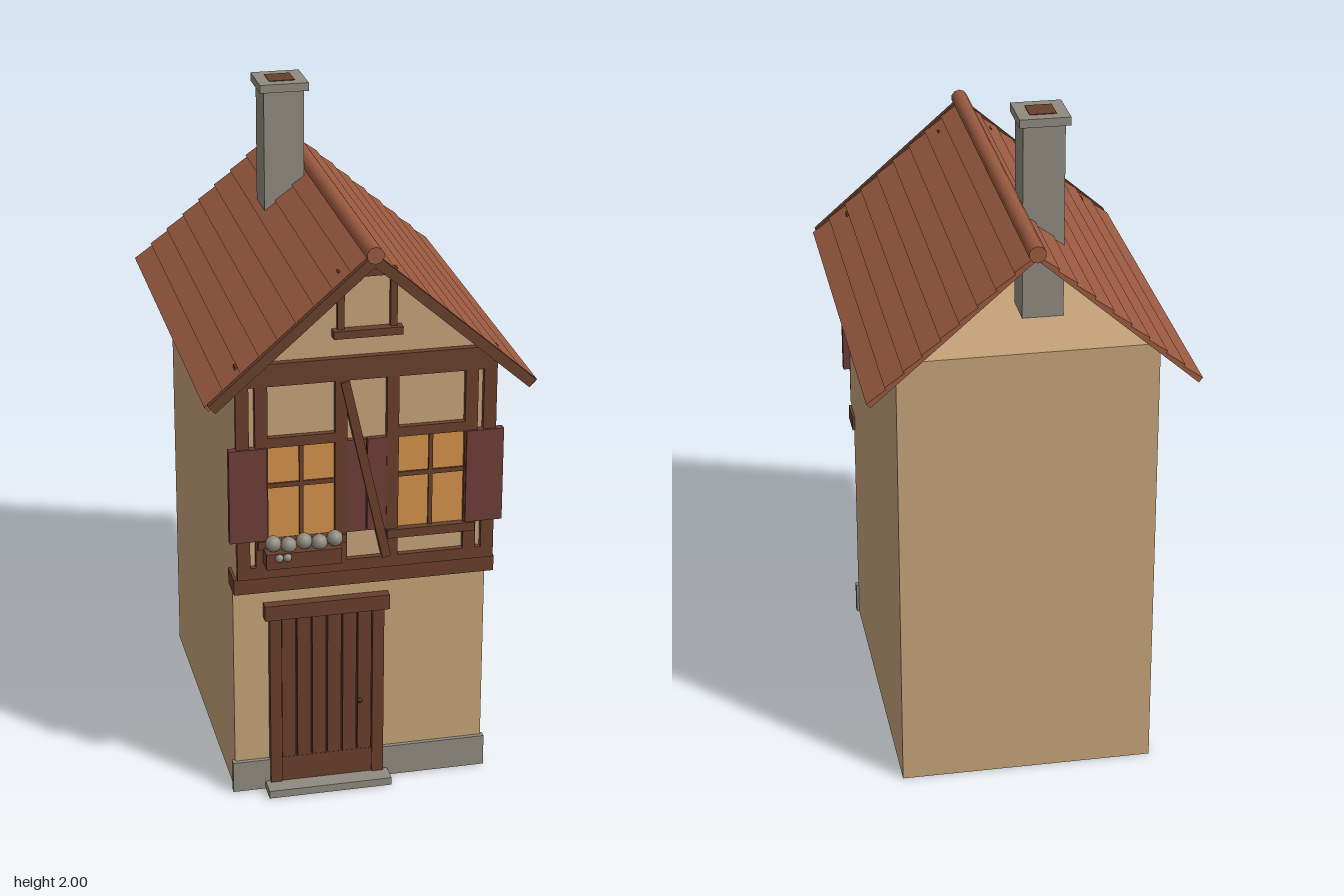
import * as THREE from 'three';

const mat = (name, color) => {
  const m = new THREE.MeshStandardMaterial({ color });
  m.name = name;
  return m;
};

export function createModel() {
  const model = new THREE.Group();
  model.name = 'timberHouse';
  const plaster = mat('plaster', 0xc5a379);
  const timber = mat('timber', 0x683f2c);
  const dark = mat('darkGap', 0x3f261b);
  const tile = mat('roofTile', 0x9a5a40);
  const stone = mat('stone', 0x8f8a7f);
  const glass = mat('litGlass', 0xd3924a);
  const paint = mat('shutterPaint', 0x6d3d37);

  const add = (name, geo, material, parent = model) => {
    const mesh = new THREE.Mesh(geo, material);
    mesh.name = name;
    parent.add(mesh);
    return mesh;
  };
  // Box given by its minimum and maximum on each axis
  const box = (name, material, x0, x1, y0, y1, z0, z1, parent) => {
    const mesh = add(name, new THREE.BoxGeometry(x1 - x0, y1 - y0, z1 - z0), material, parent);
    mesh.position.set((x0 + x1) / 2, (y0 + y1) / 2, (z0 + z1) / 2);
    return mesh;
  };

  // Walls, with the upper floor jutting out over the lower one
  box('lowerWalls', plaster, -0.38, 0.38, 0, 0.72, -0.53, 0.48);
  box('upperWalls', plaster, -0.38, 0.38, 0.72, 1.385, -0.53, 0.545);
  const gable = new THREE.Shape([
    new THREE.Vector2(-0.38, 1.38), new THREE.Vector2(0.38, 1.38), new THREE.Vector2(0, 1.713)]);
  add('frontGable', new THREE.ExtrudeGeometry(gable, { depth: 0.03, bevelEnabled: false }), plaster)
    .position.z = 0.515;
  box('plinth', stone, -0.388, 0.388, 0.002, 0.1, 0.47, 0.493);
  box('doorStep', stone, -0.29, 0.085, 0.003, 0.027, 0.47, 0.555);

  // Door with planks, frame and knob
  box('doorBacking', dark, -0.24, 0.035, 0.1, 0.575, 0.475, 0.487);
  box('doorFoot', timber, -0.24, 0.035, 0.005, 0.107, 0.475, 0.499);
  for (let i = 0; i < 6; i++) {
    const x = -0.24 + i * 0.046;
    box('doorPlank', timber, x + 0.002, x + 0.043, 0.1, 0.575, 0.475, 0.498);
  }
  const knob = add('doorKnob', new THREE.SphereGeometry(0.008, 10, 8), dark);
  knob.position.set(-0.004, 0.275, 0.503);
  for (const x of [-0.275, 0.035]) box('doorPost', timber, x, x + 0.035, 0.025, 0.575, 0.475, 0.504);
  box('doorLintel', timber, -0.29, 0.085, 0.575, 0.622, 0.475, 0.511);

  // Beams and posts of the upper floor
  const zw = 0.54, zt = 0.563;
  box('jettyBeam', timber, -0.388, 0.388, 0.688, 0.736, 0.457, 0.546);
  box('bottomRail', timber, -0.38, 0.38, 0.742, 0.778, zw, zt);
  box('topRail', timber, -0.38, 0.38, 1.338, 1.406, zw, 0.566);
  for (const s of [-1, 1]) {
    const at = (name, material, a, b, y0, y1, z0, z1) =>
      box(name, material, Math.min(a * s, b * s), Math.max(a * s, b * s), y0, y1, z0, z1);
    at('cornerPost', timber, 0.342, 0.38, 0.775, 1.34, zw, zt);
    at('windowPost', timber, 0.288, 0.325, 0.775, 1.34, zw, zt);
    at('innerPost', timber, 0.058, 0.093, 0.775, 1.34, zw, zt);
    at('windowHeader', timber, 0.09, 0.29, 1.15, 1.18, zw, zt);
    at('windowSill', timber, 0.06, 0.32, 0.836, 0.863, zw, 0.572);
    // Window with glazing bars and shutter
    at('windowGlass', glass, 0.09, 0.29, 0.86, 1.152, zw, 0.549);
    at('windowMullion', timber, 0.184, 0.196, 0.86, 1.152, zw, 0.556);
    at('windowBar', timber, 0.09, 0.29, 1.022, 1.036, zw, 0.555);
    at('outerShutter', paint, 0.292, 0.402, 0.865, 1.152, 0.547, 0.57);
    at('innerShutter', paint, 0.002, 0.058, 0.865, 1.152, zw, 0.562);
    // Small frame in the gable
    at('gablePost', timber, 0.066, 0.086, 1.485, 1.652, zw, 0.56);
  }
  box('gableSill', timber, -0.1, 0.1, 1.467, 1.49, zw, 0.575);
  box('gableHeader', timber, -0.085, 0.085, 1.642, 1.662, zw, 0.56);
  const brace = box('diagonalBrace', timber, -0.013, 0.013, -0.285, 0.285, -0.013, 0.013);
  brace.position.set(-0.003, 1.056, 0.558);
  brace.rotation.z = Math.atan2(0.125, 0.56);

  // Flower box
  box('flowerBox', timber, -0.305, -0.085, 0.795, 0.843, 0.56, 0.618);
  for (let i = 0; i < 5; i++) {
    const bloom = add('flower', new THREE.SphereGeometry(0.024, 12, 8), stone);
    bloom.position.set(-0.28 + i * 0.045, 0.86 + (i % 2 ? -0.004 : 0.004), 0.59);
  }
  for (const x of [-0.268, -0.244]) {
    const bud = add('hangingFlower', new THREE.SphereGeometry(0.013, 10, 8), stone);
    bud.position.set(x, 0.829, 0.616);
  }

  // Roof slopes with stepped tile courses, mirrored about the ridge
  const angle = Math.atan(0.875), length = 0.62, courses = 9;
  const profile = new THREE.Shape();
  profile.moveTo(0, 0);
  profile.lineTo(length, 0);
  for (let i = courses; i > 0; i--) {
    profile.lineTo(length * i / courses, 0.018);
    profile.lineTo(length * (i - 1) / courses, 0.011);
  }
  const slopeGeo = new THREE.ExtrudeGeometry(profile, { depth: 1.26, bevelEnabled: false });
  slopeGeo.translate(0, 0, -0.63);
  for (const s of [1, -1]) {
    const side = new THREE.Group();
    side.name = s > 0 ? 'leftRoof' : 'rightRoof';
    side.position.set(0, 1.713, -0.005);
    side.rotation.y = s > 0 ? 0 : Math.PI;
    add('tiledSlope', slopeGeo, tile, side).rotation.z = -angle;
    model.add(side);
    // Board along the front edge of the slope
    const board = box('bargeBoard', timber, -0.305, 0.305, -0.015, 0.015, -0.01, 0.01);
    board.rotation.z = -s * angle;
    board.position.set(s * 0.231, 1.516, 0.635);
  }
  const ridge = add('ridgeCap', new THREE.CylinderGeometry(0.025, 0.025, 1.295, 10), tile);
  ridge.rotation.x = Math.PI / 2;
  ridge.position.set(0, 1.733, 0.0025);

  // Chimney
  box('chimneyStack', stone, -0.147, -0.025, 1.38, 1.98, -0.291, -0.169);
  box('chimneyCap', stone, -0.16, -0.012, 1.973, 1.998, -0.306, -0.158);
  box('chimneyOpening', timber, -0.125, -0.047, 1.995, 2, -0.271, -0.193);
  return model;
}
